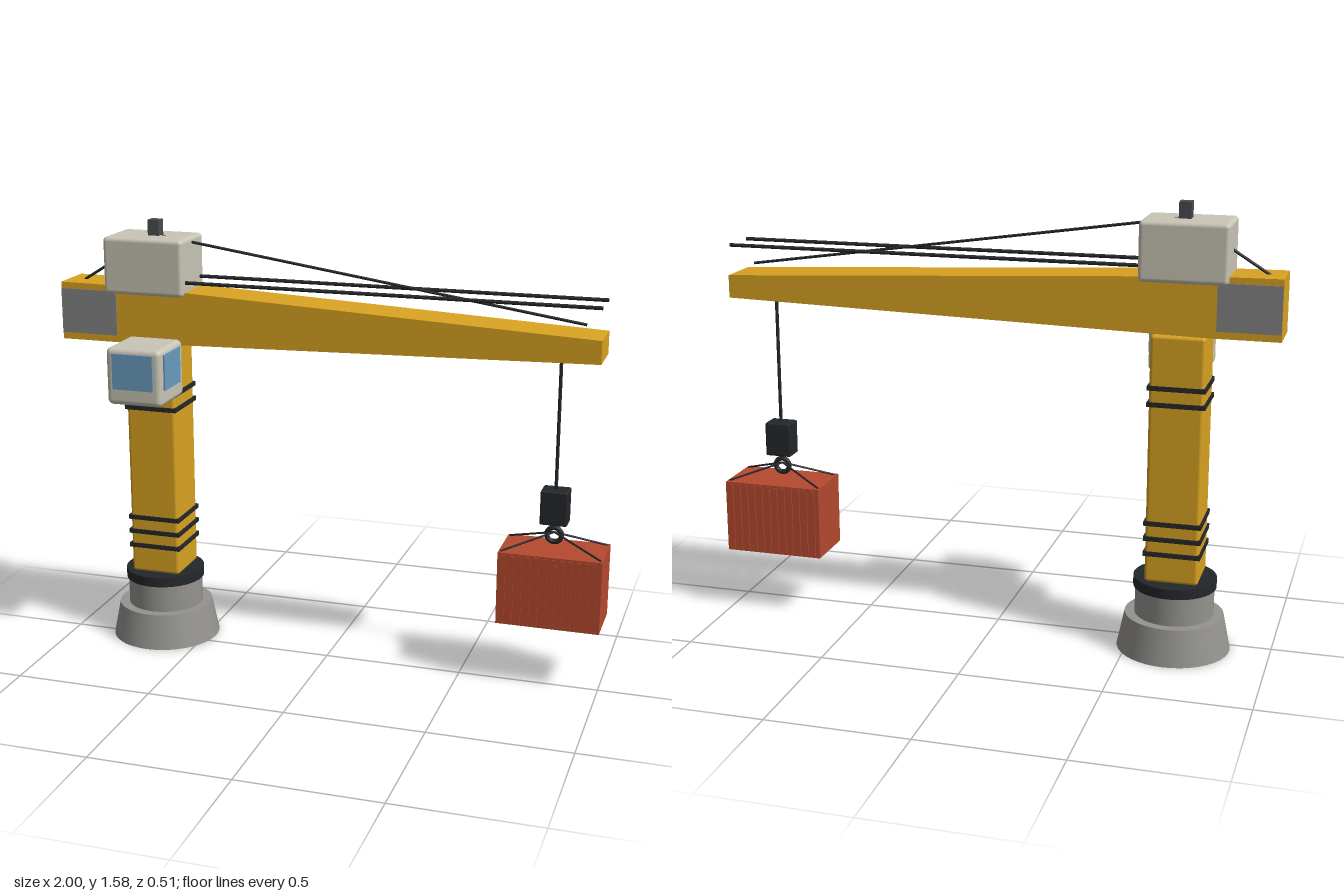
import * as THREE from 'three';
import { RoundedBoxGeometry } from 'three/addons/geometries/RoundedBoxGeometry.js';

const Z = -0.055;      // centre plane of tower and jib
const TX = -0.66;      // tower axis
const HX = 0.815;      // hoist axis

const mat = (color) => new THREE.MeshStandardMaterial({ color });
const M = {
  yellow: mat(0xd9a321), dark: mat(0x24272a), concrete: mat(0x94938f), plate: mat(0x858585),
  house: mat(0xc9c5b6), glass: mat(0x6a9cbf), red: mat(0xb5482f), steel: mat(0x4a4c50),
};

export function createModel() {
  const crane = new THREE.Group();
  crane.name = 'harbourCrane';

  const add = (name, geometry, material, x = 0, y = 0, z = 0, parent = crane) => {
    const mesh = new THREE.Mesh(geometry, material);
    mesh.name = name;
    mesh.position.set(x, y, z);
    parent.add(mesh);
    return mesh;
  };
  const group = (name) => {
    const g = new THREE.Group();
    g.name = name;
    crane.add(g);
    return g;
  };
  const box = (w, h, d) => new THREE.BoxGeometry(w, h, d);
  // Straight round bar between two points
  const bar = (name, a, b, r, parent) => {
    const from = new THREE.Vector3(...a), to = new THREE.Vector3(...b);
    const dir = to.clone().sub(from);
    const mesh = add(name, new THREE.CylinderGeometry(r, r, dir.length(), 10), M.dark, 0, 0, 0, parent);
    mesh.position.copy(from).add(to).multiplyScalar(0.5);
    mesh.quaternion.setFromUnitVectors(new THREE.Vector3(0, 1, 0), dir.normalize());
  };

  // Pedestal and slewing ring
  add('baseCone', new THREE.CylinderGeometry(0.174, 0.2, 0.128, 40), M.concrete, TX, 0.064, Z);
  add('basePedestal', new THREE.CylinderGeometry(0.139, 0.139, 0.11, 40), M.concrete, TX, 0.18, Z);
  add('slewingRing', new THREE.CylinderGeometry(0.146, 0.146, 0.036, 40), M.dark, TX, 0.247, Z);

  // Column with dark bands
  add('column', new RoundedBoxGeometry(0.187, 0.875, 0.187, 3, 0.012), M.yellow, TX, 0.7035, Z);
  const bands = group('columnBands');
  for (const y of [0.37, 0.425, 0.48, 0.903, 0.96])
    add('columnBand', box(0.199, 0.016, 0.199), M.dark, TX, y, Z, bands);

  // Tapered jib, level behind the tower
  const outline = [[-1, 1.14], [-0.75, 1.14], [0.96, 1.182], [0.96, 1.263], [-0.75, 1.347], [-1, 1.35]];
  const jib = new THREE.ExtrudeGeometry(
    new THREE.Shape(outline.map(([x, y]) => new THREE.Vector2(x, y))),
    { depth: 0.166, bevelEnabled: false });
  add('jib', jib, M.yellow, 0, 0, Z - 0.083);

  // Counterweight plates and handrails on both sides
  for (const s of [-1, 1]) {
    add('counterweightPlate', box(0.214, 0.162, 0.008), M.plate, -0.892, 1.246, Z + s * 0.083);
    bar('jibRail', [-0.6, 1.37, Z + s * 0.07], [0.955, 1.37, Z + s * 0.07], 0.0065);
  }

  // Machinery house, mast and stay cables
  add('machineryHouse', new RoundedBoxGeometry(0.302, 0.204, 0.208, 4, 0.015), M.house, -0.671, 1.422, Z);
  add('mast', box(0.042, 0.1, 0.042), M.steel, TX, 1.53, Z);
  bar('frontStay', [TX, 1.525, Z], [0.895, 1.296, Z], 0.005);
  bar('rearStay', [TX, 1.525, Z], [-0.945, 1.347, Z], 0.005);

  // Operator cab with two windows
  const cab = group('operatorCab');
  add('cabShell', new RoundedBoxGeometry(0.207, 0.205, 0.21, 4, 0.02), M.house, -0.629, 1.07, 0.146, cab);
  add('frontWindow', box(0.152, 0.127, 0.012), M.glass, -0.63, 1.09, 0.251, cab);
  add('sideWindow', box(0.012, 0.127, 0.142), M.glass, -0.526, 1.09, 0.154, cab);

  // Hoist rope, block and ring
  const hoist = group('hoist');
  bar('hoistRope', [HX, 1.2, Z], [HX, 0.7, Z], 0.006, hoist);
  add('hookBlock', new RoundedBoxGeometry(0.096, 0.124, 0.076, 2, 0.006), M.dark, HX, 0.649, Z, hoist);
  add('hookRing', new THREE.TorusGeometry(0.026, 0.009, 12, 28), M.dark, HX, 0.543, Z, hoist);
  bar('hookShank', [HX, 0.6, Z], [HX, 0.57, Z], 0.006, hoist);

  // Ribbed container hung on four slings
  const load = group('container');
  const cx = 0.818;
  add('containerBody', box(0.364, 0.264, 0.202), M.red, cx, 0.361, Z, load);
  for (const s of [-1, 1]) {
    for (let i = 0; i < 12; i++)
      add('containerRib', box(0.014, 0.25, 0.008), M.red, cx + (i - 5.5) * 0.029, 0.361, Z + s * 0.102, load);
    for (const t of [-1, 1])
      bar('sling', [HX, 0.553, Z], [cx + t * 0.175, 0.494, Z + s * 0.085], 0.0035, load);
  }

  return crane;
}
